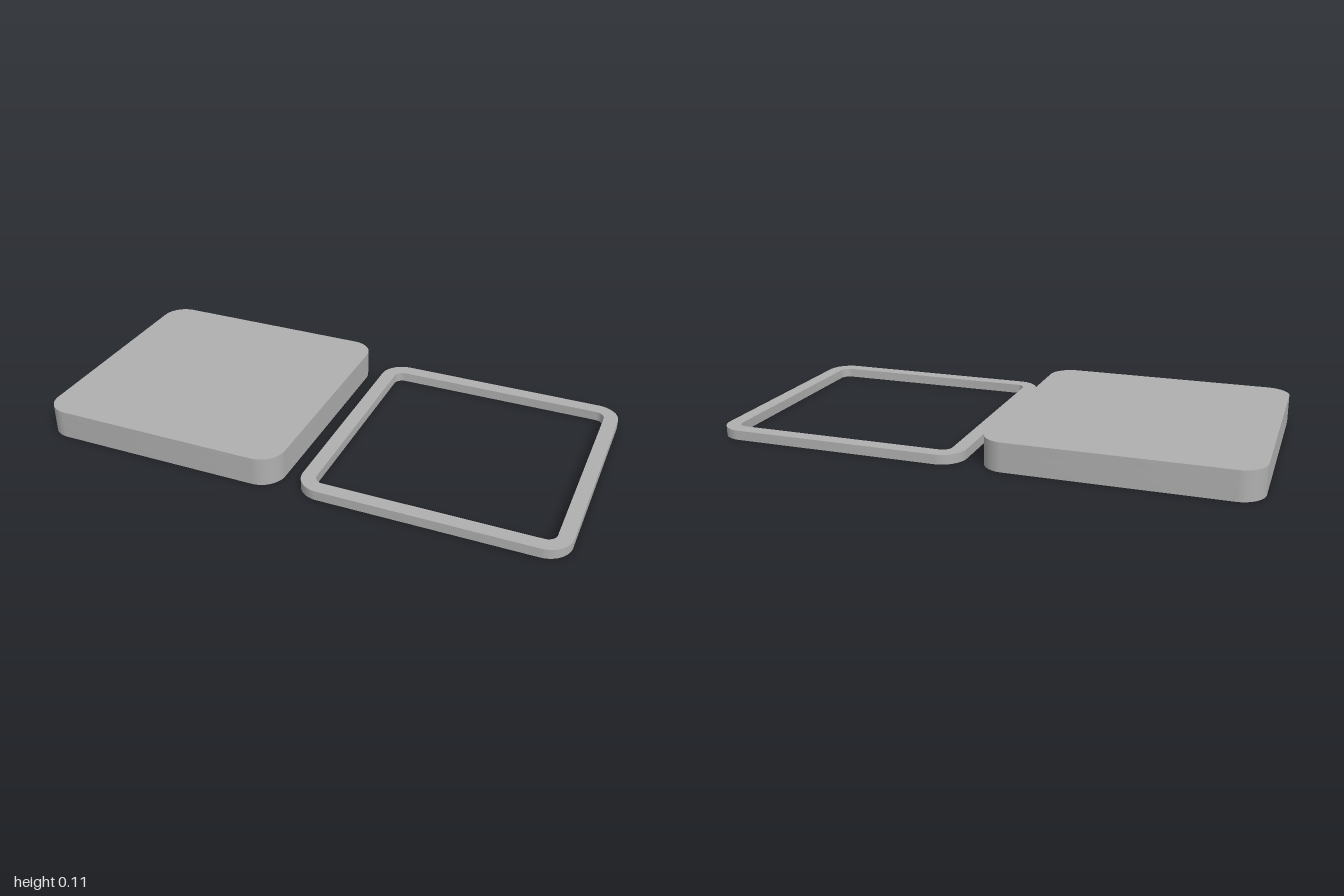
import * as THREE from 'three';
import { toCreasedNormals } from 'three/addons/utils/BufferGeometryUtils.js';

const HALF = 0.4825, RADIUS = 0.09, WALL = 0.054;
const CENTRE = 0.5175, RIM = 0.036, HEIGHT = 0.108, FLOOR = 0.036;

// Rounded square outline centred on the origin
function roundedSquare(target, h, r) {
  target.moveTo(-h + r, -h);
  target.lineTo(h - r, -h);
  target.absarc(h - r, -h + r, r, -Math.PI / 2, 0);
  target.lineTo(h, h - r);
  target.absarc(h - r, h - r, r, 0, Math.PI / 2);
  target.lineTo(-h + r, h);
  target.absarc(-h + r, h - r, r, Math.PI / 2, Math.PI);
  target.lineTo(-h, -h + r);
  target.absarc(-h + r, -h + r, r, Math.PI, Math.PI * 1.5);
  return target;
}

// Upright slab from y0 to y1, solid or open in the middle
function slab(y0, y1, open) {
  const shape = roundedSquare(new THREE.Shape(), HALF, RADIUS);
  if (open) shape.holes.push(roundedSquare(new THREE.Path(), HALF - WALL, RADIUS - WALL));
  const geo = new THREE.ExtrudeGeometry(shape, { depth: y1 - y0, bevelEnabled: false, curveSegments: 12 });
  geo.rotateX(-Math.PI / 2).translate(0, y0, 0);
  return toCreasedNormals(geo, 0.5);
}

export function createModel() {
  const model = new THREE.Group();
  const grey = new THREE.MeshStandardMaterial({ color: 0xb0b0b0 });
  grey.name = 'grey plastic';

  const add = (parent, name, geo) => {
    const mesh = new THREE.Mesh(geo, grey);
    mesh.name = name;
    parent.add(mesh);
    return mesh;
  };

  // Shallow case, open underneath
  const caseGroup = new THREE.Group();
  caseGroup.name = 'case';
  caseGroup.position.x = -CENTRE;
  add(caseGroup, 'caseWalls', slab(0, HEIGHT - FLOOR, true));
  add(caseGroup, 'casePlate', slab(HEIGHT - FLOOR, HEIGHT, false));

  // Four posts hanging inside the case corners
  const postBottom = 0.015, postTop = HEIGHT - FLOOR;
  const postGeo = new THREE.BoxGeometry(0.04, postTop - postBottom, 0.04);
  for (const sx of [-1, 1]) for (const sz of [-1, 1]) {
    add(caseGroup, 'post', postGeo).position.set(sx * 0.348, (postTop + postBottom) / 2, sz * 0.348);
  }
  model.add(caseGroup);

  // Flat open frame beside the case
  add(model, 'frame', slab(0, RIM, true)).position.x = CENTRE;
  return model;
}
